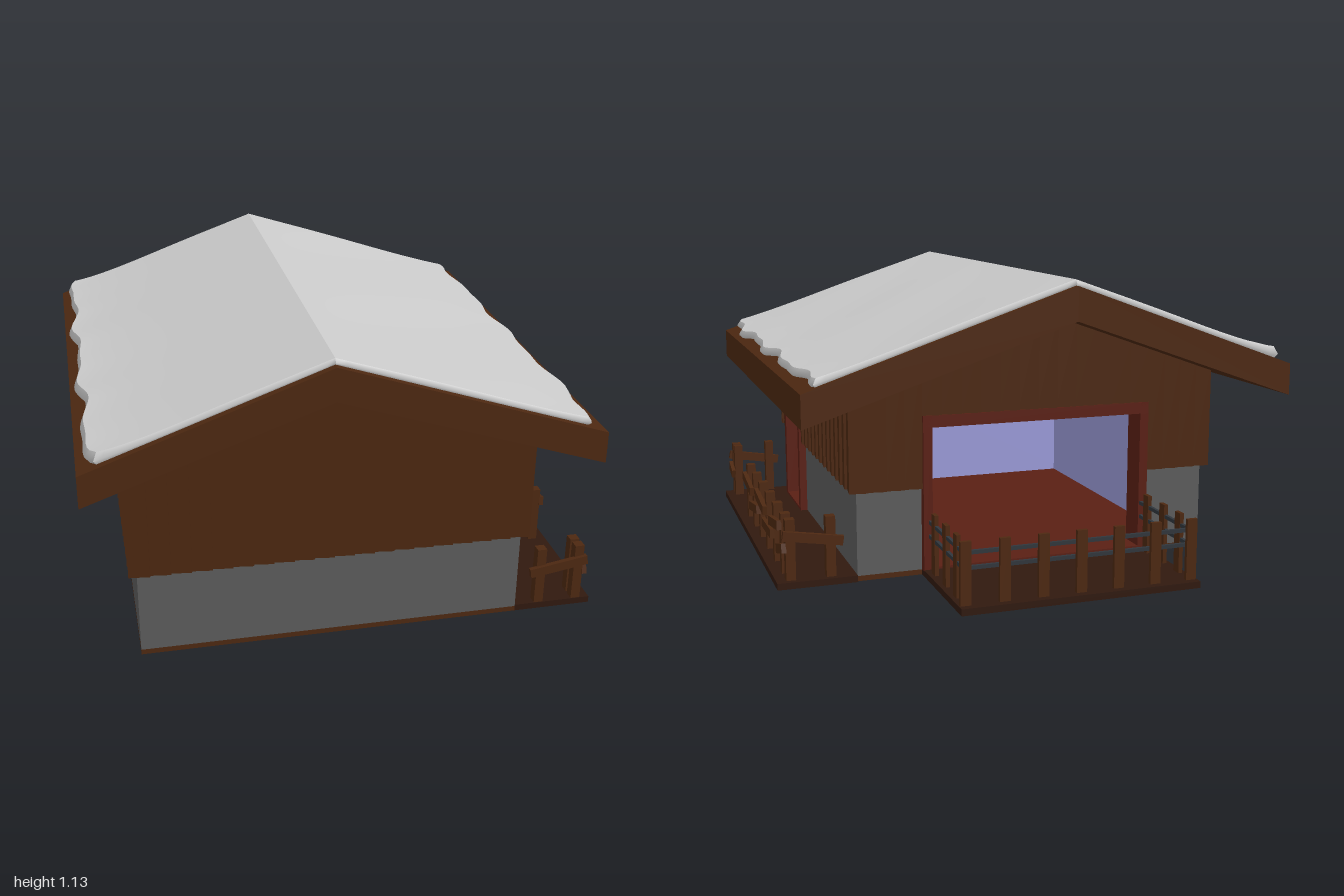
import * as THREE from 'three';

const mat = (c) => new THREE.MeshStandardMaterial({ color: c });
const RIDGE = -0.08;
// underside and top of the roof at a given x
const under = (x) => 0.98 - (x < RIDGE ? 0.356 * (RIDGE - x) : 0.328 * (x - RIDGE));
const over = (x) => 1.105 - (x < RIDGE ? 0.362 * (RIDGE - x) : 0.333 * (x - RIDGE));

export function createModel() {
  const root = new THREE.Group();
  const wood = mat(0x4d2811), dark = mat(0x30190f), red = mat(0x5a1f14);
  const stone = mat(0x5c5c5c), blue = mat(0x9a9ad8), iron = mat(0x30363c), snow = mat(0xcccccc);

  const add = (parent, name, geo, m) => {
    const mesh = new THREE.Mesh(geo, m);
    mesh.name = name;
    parent.add(mesh);
    return mesh;
  };
  // box given by its limits on each axis
  const box = (parent, name, m, x0, x1, y0, y1, z0, z1) => {
    const b = add(parent, name, new THREE.BoxGeometry(x1 - x0, y1 - y0, z1 - z0), m);
    b.position.set((x0 + x1) / 2, (y0 + y1) / 2, (z0 + z1) / 2);
    return b;
  };
  const poly = (pts, depth) => new THREE.ExtrudeGeometry(
    new THREE.Shape(pts.map((p) => new THREE.Vector2(p[0], p[1]))), { depth, bevelEnabled: false });

  // Floors and decks
  box(root, 'foundation', wood, -0.77, 0.65, 0, 0.02, -0.52, 0.9);
  box(root, 'roomFloor', red, -0.7, 0.58, 0.02, 0.024, -0.45, 0.83);
  box(root, 'ceiling', wood, -0.72, 0.6, 0.67, 0.69, -0.47, 0.85);
  box(root, 'sideDeck', dark, 0.65, 0.95, 0, 0.025, -0.53, 0.9);
  box(root, 'balconyDeck', dark, -0.52, 0.4, 0, 0.025, -1, -0.52);

  // Wall from a to b in its own plane, outside facing local +z at distance d
  function wall(name, angle, a, b, d, top, opening) {
    const g = new THREE.Group();
    g.name = name;
    g.rotation.y = angle;
    root.add(g);
    const outline = (s, e) => {
      const p = [[s, 0.02]];
      if (opening) {
        const [o0, o1, h] = opening;
        p.push([o0, 0.02], [o0, h], [o1, h], [o1, 0.02]);
      }
      return [...p, [e, 0.02], [e, 0.7], [s, 0.7]];
    };
    add(g, 'masonry', poly(outline(a, b), 0.07), stone).position.z = d - 0.07;
    add(g, 'lining', poly(outline(a + 0.03, b - 0.03), 0.01), blue).position.z = d - 0.08;

    // vertical boards, each turned a little so their edges overlap
    const A = a - 0.025, B = b + 0.025;
    const spans = opening
      ? [[A, opening[0], 0.34], [opening[0], opening[1], opening[2]], [opening[1], B, 0.34]]
      : [[A, B, 0.34]];
    for (const [s, e, low] of spans) {
      const n = Math.max(1, Math.round((e - s) / 0.074)), w = (e - s) / n;
      for (let i = 0; i < n; i++) {
        const u = s + i * w;
        const board = add(g, 'wallBoard', poly(
          [[0, low], [w, low], [w, top(u + w) + 0.01], [0, top(u) + 0.01]], 0.022), wood);
        board.position.set(u, 0, d - 0.001);
        board.rotation.y = -0.13;
      }
    }
    // frame around the opening
    if (opening) {
      const [o0, o1, h] = opening, z0 = d - 0.075, z1 = d + 0.03;
      box(g, 'frameJamb', red, o0, o0 + 0.035, 0.02, h, z0, z1);
      box(g, 'frameJamb', red, o1 - 0.035, o1, 0.02, h, z0, z1);
      box(g, 'frameLintel', red, o0, o1, h - 0.045, h, z0, z1);
      box(g, 'threshold', red, o0, o1, 0.02, 0.034, z0, z1);
    }
  }
  wall('frontWall', 0, -0.77, 0.65, 0.9, under);
  wall('backWall', Math.PI, -0.65, 0.77, 0.52, (u) => under(-u), [-0.4, 0.52, 0.615]);
  wall('leftWall', Math.PI / 2, -0.9, 0.52, 0.65, () => 0.73, [-0.79, -0.44, 0.635]);
  wall('rightWall', -Math.PI / 2, -0.52, 0.9, 0.77, () => 0.72);

  // Roof slab
  const L = -0.95, R = 0.91;
  add(root, 'roof', poly([[L, under(L)], [RIDGE, under(RIDGE)], [R, under(R)],
    [R, over(R)], [RIDGE, over(RIDGE)], [L, over(L)]], 1.855), wood).position.z = -0.86;

  // Snow blanket on each slope with a wavy lower edge
  for (const side of [-1, 1]) {
    const geo = new THREE.BoxGeometry(1, 1, 1, 24, 2, 60);
    const p = geo.attributes.position;
    const reach = side < 0 ? 0.835 : 0.955;
    for (let i = 0; i < p.count; i++) {
      const u = side < 0 ? 0.5 - p.getX(i) : p.getX(i) + 0.5;
      const t = p.getY(i) + 0.5, v = p.getZ(i) * 2;
      const wave = 0.012 * Math.sin(v * 11 + side) + 0.008 * Math.sin(v * 19 + 2);
      const round = t === 0.5 ? 0 : 0.012;
      const corner = Math.pow(Math.abs(v), 24) * 0.025;
      const len = reach + (wave - corner) * u * u - round * Math.pow(u, 12);
      const x = RIDGE + side * len * u;
      const z = 0.065 + v * (0.91 - round);
      const thick = 0.026 + (side < 0 ? 0.022 : 0.008) * Math.pow(u, 6)
        + 0.003 * Math.sin(z * 7 + u * 4) * Math.sin(u * 3.1);
      p.setXYZ(i, x, over(x) - 0.004 + t * thick, z);
    }
    geo.computeVertexNormals();
    add(root, side < 0 ? 'snowRight' : 'snowLeft', geo, snow);
  }

  // Side deck fence: rough posts with crooked rails
  const fence = new THREE.Group();
  fence.name = 'deckFence';
  root.add(fence);
  const post = (x, z) => box(fence, 'fencePost', wood, x - 0.018, x + 0.018, 0.025, 0.255, z - 0.018, z + 0.018);
  // rail between two points, drawn past both ends
  function rail(x0, y0, z0, x1, y1, z1) {
    const a = new THREE.Vector3(x0, y0, z0), b = new THREE.Vector3(x1, y1, z1);
    const m = add(fence, 'fenceRail', new THREE.BoxGeometry(0.018, 0.036, a.distanceTo(b) + 0.04), wood);
    m.position.copy(a).add(b).multiplyScalar(0.5);
    m.lookAt(b);
  }
  const zs = [0.43, 0.265, 0.1, -0.07, -0.24, -0.4, -0.49];
  const ys = [[0.2, 0.18], [0.115, 0.14], [0.205, 0.185], [0.13, 0.135], [0.185, 0.21], [0.12, 0.145]];
  zs.forEach((z, i) => {
    post(0.895, z);
    if (i < 6) rail(0.92, ys[i][0], z, 0.92, ys[i][1], zs[i + 1]);
  });
  post(0.895, 0.83);
  rail(0.92, 0.13, 0.83, 0.92, 0.145, 0.88);
  for (const z of [0.88, -0.49]) {
    post(0.745, z);
    post(0.895, z);
    rail(0.72, 0.165, z + Math.sign(z) * 0.022, 0.905, 0.195, z + Math.sign(z) * 0.022);
  }

  // Balcony railing: flat uprights and two thin bars
  const balcony = new THREE.Group();
  balcony.name = 'balconyRailing';
  root.add(balcony);
  for (let i = 0; i < 7; i++) {
    const x = -0.495 + i * 0.145;
    box(balcony, 'balconyUpright', wood, x - 0.02, x + 0.02, 0.025, 0.255, -0.972, -0.957);
  }
  for (const x of [-0.495, 0.375]) {
    for (const z of [-0.61, -0.745, -0.87])
      box(balcony, 'balconyUpright', wood, x - 0.008, x + 0.008, 0.025, 0.255, z - 0.02, z + 0.02);
    for (const y of [0.155, 0.21])
      box(balcony, 'balconyBar', iron, x - 0.006, x + 0.006, y - 0.007, y + 0.007, -0.97, -0.52);
  }
  for (const y of [0.155, 0.21])
    box(balcony, 'balconyBar', iron, -0.5, 0.38, y - 0.007, y + 0.007, -0.957, -0.945);

  return root;
}
